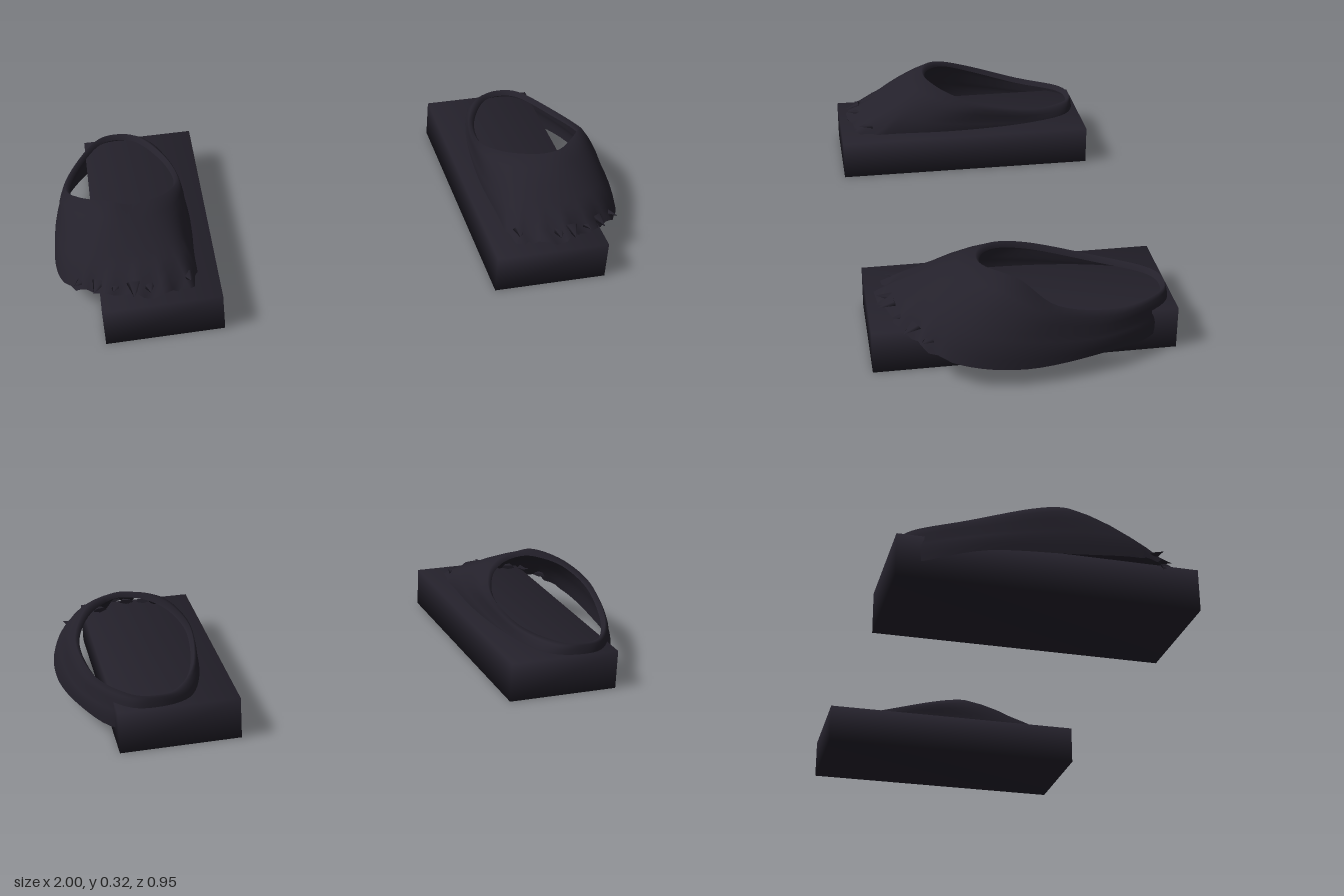
import * as THREE from 'three';
import { mergeVertices } from 'three/addons/utils/BufferGeometryUtils.js';

const V = (p) => new THREE.Vector3(...p);
const mat = new THREE.MeshStandardMaterial({ color: 0x24212b, side: THREE.DoubleSide });

// Loops around the left shoe: toe, outer side, heel, inner side
const hem = [
  [0.72, 0.155, 0.435], [0.9, 0.125, 0.345], [0.985, 0.085, 0.22], [1.0, 0.06, 0.02],
  [0.955, 0.065, -0.22], [0.86, 0.055, -0.4], [0.74, 0.1, -0.465], [0.63, 0.1, -0.42],
  [0.56, 0.1, -0.25], [0.53, 0.1, 0], [0.53, 0.11, 0.22], [0.55, 0.135, 0.4]];
const shoulder = [
  [0.72, 0.22, 0.31], [0.86, 0.215, 0.27], [0.945, 0.19, 0.17], [0.975, 0.165, 0],
  [0.945, 0.13, -0.22], [0.84, 0.13, -0.42], [0.74, 0.14, -0.465], [0.62, 0.14, -0.42],
  [0.56, 0.15, -0.25], [0.535, 0.18, 0], [0.55, 0.2, 0.17], [0.6, 0.22, 0.27]];
const rim = [
  [0.73, 0.305, 0.14], [0.8, 0.308, 0.12], [0.89, 0.285, 0.045], [0.94, 0.235, -0.08],
  [0.905, 0.187, -0.27], [0.82, 0.18, -0.42], [0.74, 0.177, -0.455], [0.66, 0.177, -0.42],
  [0.58, 0.187, -0.27], [0.55, 0.23, -0.08], [0.585, 0.268, 0.04], [0.65, 0.293, 0.11]];
// Folded lip just inside the opening
const lip = rim.map(([x, y, z]) => [0.74 + (x - 0.74) * 0.93, y - 0.018, -0.15 + (z + 0.15) * 0.96]);

const N = 72;

// Lofted upper through closed loops
function upperGeometry(side) {
  const rimLoop = rim.map((p) => [...p]);
  // Raised corner on one shoe, raised instep on the other
  if (side > 0) rimLoop[2] = [0.885, 0.305, 0.03];
  else rimLoop[1][1] = 0.315;
  const loops = [hem, shoulder, rimLoop, lip].map(
    (l) => new THREE.CatmullRomCurve3(l.map(V), true, 'catmullrom', 0.5));
  const rows = [];
  for (let r = 0; r < 3; r++) {
    const steps = r === 0 ? 4 : r === 1 ? 3 : 1;
    for (let s = 0; s < steps; s++) rows.push([r, s / steps]);
  }
  rows.push([2, 1]);
  const pos = [], idx = [];
  for (const [r, t] of rows) {
    for (let i = 0; i < N; i++) {
      const u = i / N;
      const p = loops[r].getPoint(u).lerp(loops[r + 1].getPoint(u), t);
      // Slight swell between loops, ragged creases at the toe hem
      const swell = r < 2 ? 0.012 * Math.sin(Math.PI * t) : 0;
      const toe = Math.max(0, Math.cos(u * Math.PI * 2) - 0.55) / 0.45;
      const ragged = r === 0 ? toe * (1 - t) ** 2 : 0;
      p.y += swell * 0.5 + ragged * 0.016 * Math.sin(i * 2.1);
      p.z += ragged * 0.014 * Math.cos(i * 1.7);
      p.x += swell * Math.sign(p.x - 0.74) * (1 - toe) * 0.4;
      pos.push(p.x * side, p.y, p.z);
    }
  }
  for (let r = 0; r < rows.length - 1; r++) {
    for (let i = 0; i < N; i++) {
      const a = r * N + i, b = r * N + (i + 1) % N, c = a + N, d = b + N;
      if (side > 0) idx.push(a, b, c, b, d, c);
      else idx.push(a, c, b, b, c, d);
    }
  }
  const g = new THREE.BufferGeometry();
  g.setAttribute('position', new THREE.Float32BufferAttribute(pos, 3));
  g.setIndex(idx);
  g.computeVertexNormals();
  return g;
}

// Block sole with softly shaded corners
function soleGeometry() {
  const box = new THREE.BoxGeometry(0.394, 0.14, 0.95);
  box.deleteAttribute('normal');
  box.deleteAttribute('uv');
  const g = mergeVertices(box);
  g.computeVertexNormals();
  return g;
}

// Torn scraps along the toe: [x, y, z, turn, length]
const scraps = [
  [0.57, 0.165, 0.375, -0.3, 0.05], [0.64, 0.16, 0.395, -0.1, 0.05],
  [0.70, 0.17, 0.41, -0.1, 0.055], [0.75, 0.17, 0.41, 0.1, 0.055],
  [0.81, 0.16, 0.375, 0.3, 0.05], [0.87, 0.15, 0.35, 0.5, 0.05],
  [0.925, 0.14, 0.305, 0.8, 0.05]];

function createShoe(side, name) {
  const shoe = new THREE.Group();
  shoe.name = name;
  const add = (geo, part) => {
    const m = new THREE.Mesh(geo, mat);
    m.name = part;
    shoe.add(m);
    return m;
  };
  add(soleGeometry(), 'sole').position.set(side * 0.664, 0.07, 0);
  add(upperGeometry(side), 'upper');
  scraps.forEach(([x, y, z, turn, len], i) => {
    const g = new THREE.ConeGeometry(0.026, len, 5);
    g.scale(1, 1, 0.35);
    g.rotateX(Math.PI / 2 + (i % 2 ? 0.35 : -0.1));
    g.rotateY(turn * side);
    add(g, 'toeScrap').position.set(x * side, y, z + 0.01);
  });
  return shoe;
}

export function createModel() {
  const model = new THREE.Group();
  model.name = 'shoes';
  model.add(createShoe(1, 'leftShoe'), createShoe(-1, 'rightShoe'));
  return model;
}
